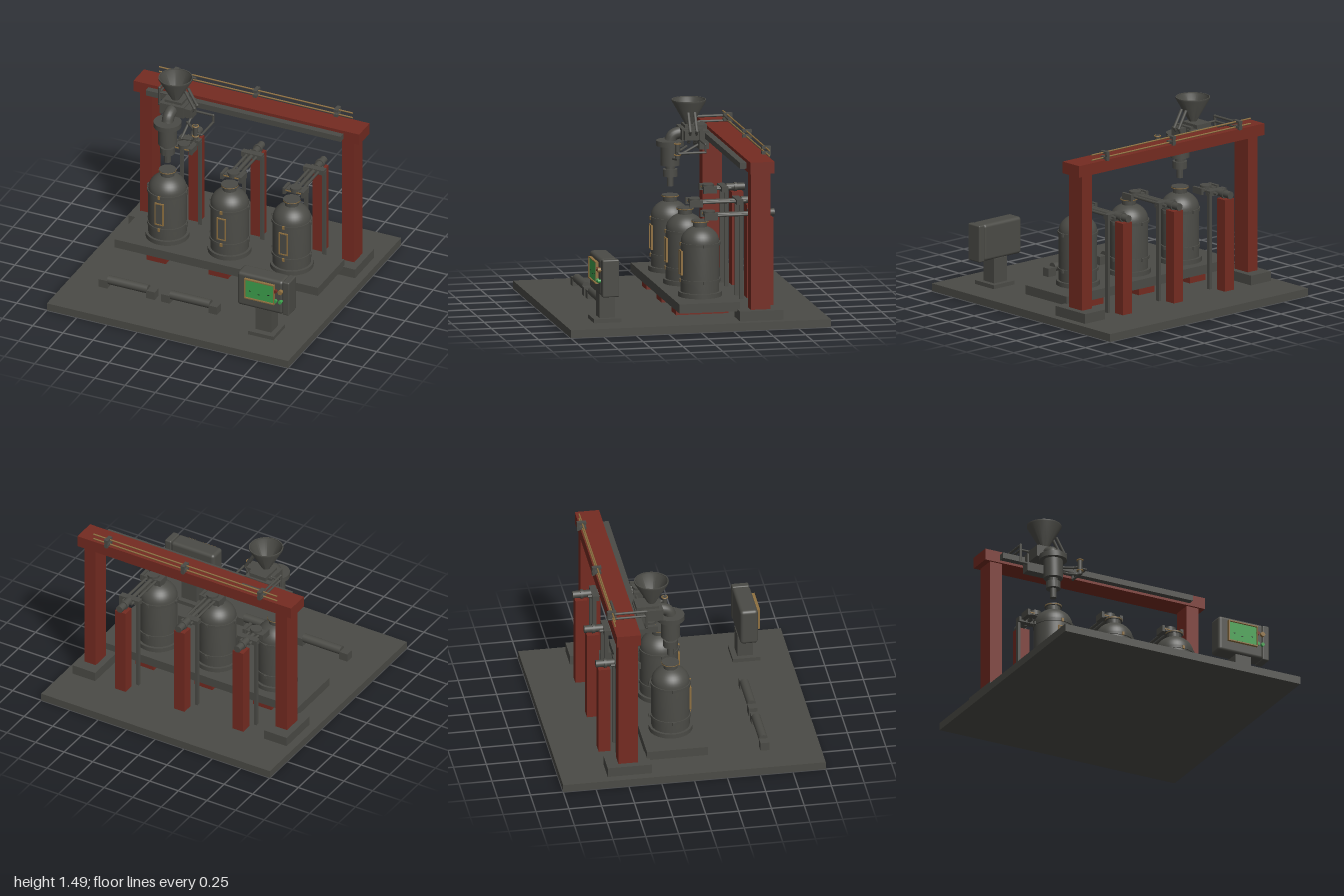
import * as THREE from 'three';
import { toCreasedNormals } from 'three/addons/utils/BufferGeometryUtils.js';
import { RoundedBoxGeometry } from 'three/addons/geometries/RoundedBoxGeometry.js';

const mat = (name, color) => {
  const m = new THREE.MeshStandardMaterial({ color });
  m.name = name;
  return m;
};
const steel = mat('dark steel', 0x4b4b46);
const red = mat('red paint', 0x752b21);
const gold = mat('brass', 0x8f7040);
const green = mat('screen green', 0x3d9f4c);
const black = mat('black', 0x1c2a1e);

const V = (x, y, z) => new THREE.Vector3(x, y, z);

function add(parent, name, geo, material, x = 0, y = 0, z = 0) {
  const m = new THREE.Mesh(geo, material);
  m.name = name;
  m.position.set(x, y, z);
  parent.add(m);
  return m;
}
// box from its limits
function box(parent, name, material, x0, x1, y0, y1, z0, z1, r = 0) {
  const s = [x1 - x0, y1 - y0, z1 - z0];
  const geo = r ? new RoundedBoxGeometry(...s, 3, r) : new THREE.BoxGeometry(...s);
  return add(parent, name, geo, material, (x0 + x1) / 2, (y0 + y1) / 2, (z0 + z1) / 2);
}
// cylinder between two points
function rod(parent, name, material, a, b, r, seg = 12) {
  const d = b.clone().sub(a);
  const m = add(parent, name, new THREE.CylinderGeometry(r, r, d.length(), seg), material);
  m.position.copy(a).addScaledVector(d, 0.5);
  m.quaternion.setFromUnitVectors(V(0, 1, 0), d.normalize());
  return m;
}
// pipe run with ball corners
function pipe(parent, name, pts, r, material = steel) {
  const g = new THREE.Group();
  g.name = name;
  pts.slice(1).forEach((p, i) => {
    rod(g, name + 'Run', material, pts[i], p, r, 10);
    add(g, name + 'Joint', new THREE.SphereGeometry(r * 1.1, 10, 8), material, p.x, p.y, p.z);
  });
  parent.add(g);
}
function lathe(parent, name, material, profile, x, z) {
  const geo = new THREE.LatheGeometry(profile.map(p => new THREE.Vector2(...p)), 40);
  return add(parent, name, toCreasedNormals(geo, 0.6), material, x, 0, z);
}
// flat rectangular frame facing +z
function frame(parent, name, w, h, t, depth, x, y, z) {
  const rect = (P, a, b) => new P([[-a, -b], [a, -b], [a, b], [-a, b]].map(p => new THREE.Vector2(...p)));
  const s = rect(THREE.Shape, w / 2, h / 2);
  s.holes.push(rect(THREE.Path, w / 2 - t, h / 2 - t));
  add(parent, name, new THREE.ExtrudeGeometry(s, { depth, bevelEnabled: false }), gold, x, y, z);
}

// tank with bands, lugs and sight window
function tank(x) {
  const g = new THREE.Group();
  g.name = 'tank';
  g.position.set(x, 0, -0.1);
  const prof = [[0, 0.19], [0.165, 0.19], [0.165, 0.225], [0.145, 0.225], [0.145, 0.6]];
  for (let i = 1; i <= 8; i++) {
    const a = i / 8 * 1.2;
    prof.push([0.145 * Math.cos(a), 0.6 + 0.125 * Math.sin(a)]);
  }
  prof.push([0.053, 0.735], [0.053, 0.75], [0.065, 0.75], [0.065, 0.765], [0, 0.765]);
  lathe(g, 'tankShell', steel, prof, 0, 0);
  const rim = add(g, 'neckRing', new THREE.TorusGeometry(0.063, 0.004, 6, 32), gold, 0, 0.757, 0);
  rim.rotation.x = Math.PI / 2;
  for (const y of [0.31, 0.59]) {
    add(g, 'band', new THREE.CylinderGeometry(0.153, 0.153, 0.022, 40), steel, 0, y, 0);
    for (let i = 0; i < 4; i++) {
      const a = i * Math.PI / 2;
      add(g, 'bandLug', new THREE.BoxGeometry(0.02, 0.025, 0.02), i === 1 ? gold : steel,
        0.154 * Math.cos(a), y, (i === 1 ? 0.146 : 0.154) * Math.sin(a));
    }
  }
  box(g, 'sightWindow', steel, -0.033, 0.033, 0.357, 0.538, 0.13, 0.15);
  frame(g, 'windowFrame', 0.072, 0.187, 0.008, 0.015, 0, 0.447, 0.14);
  return g;
}

// column with sliding arm, slide is how far the arm is drawn back
function station(x, slide) {
  const g = new THREE.Group();
  g.name = 'armStation';
  g.position.x = x;
  box(g, 'armColumn', red, -0.046, 0.046, 0.06, 0.77, -0.655, -0.565);
  for (const s of [-1, 1]) {
    const px = s * 0.075;
    box(g, 'guidePost', steel, px - 0.011, px + 0.011, 0.06, 0.8, -0.53, -0.5);
    rod(g, 'armRod', steel, V(s * 0.04, 0.8, -0.56), V(s * 0.04, 0.8, -0.17 - slide), 0.011);
    box(g, 'jaw', steel, s * 0.077 - 0.011, s * 0.077 + 0.011, 0.775, 0.825, -0.22 - slide, -0.12 - slide);
  }
  rod(g, 'pistonRod', steel, V(0, 0.8, -0.56), V(0, 0.8, -0.2 - slide), 0.016);
  box(g, 'armBlock', steel, -0.085, 0.085, 0.78, 0.82, -0.53, -0.48);
  rod(g, 'actuator', steel, V(0, 0.803, -0.67), V(0, 0.803, -0.53), 0.028, 20);
  rod(g, 'actuatorCap', steel, V(0, 0.803, -0.61), V(0, 0.803, -0.59), 0.036, 20);
  box(g, 'gripPlate', steel, -0.085, 0.085, 0.79, 0.815, -0.21 - slide, -0.135 - slide);
  box(g, 'gripTrim', gold, -0.07, 0.07, 0.8, 0.808, -0.135 - slide, -0.13 - slide);
  add(g, 'gripCap', new THREE.CylinderGeometry(0.045, 0.045, 0.035, 24), steel, 0, 0.815, -0.17 - slide);
  return g;
}

function gantry() {
  const g = new THREE.Group();
  g.name = 'gantry';
  for (const s of [-1, 1]) {
    box(g, 'post', red, s * 0.837 - 0.05, s * 0.837 + 0.05, 0.13, 1.18, -0.56, -0.41);
    box(g, 'postFoot', steel, s * 0.838 - 0.1, s * 0.838 + 0.1, 0.06, 0.135, -0.65, -0.315);
  }
  box(g, 'beam', red, -0.935, 0.935, 1.18, 1.27, -0.58, -0.395);
  box(g, 'trackRail', steel, -0.81, 0.805, 1.2, 1.245, -0.395, -0.345);
  for (const y of [1.29, 1.33])
    rod(g, 'supplyLine', gold, V(-0.805, y, -0.57), V(0.8, y, -0.57), 0.006, 8);
  for (const x of [-0.67, 0, 0.67]) {
    box(g, 'lineBracket', steel, x - 0.012, x + 0.012, 1.27, 1.335, -0.61, -0.59);
    box(g, 'lineClamp', steel, x - 0.016, x + 0.016, 1.28, 1.3, -0.61, -0.54);
    box(g, 'lineClamp', steel, x - 0.016, x + 0.016, 1.32, 1.34, -0.61, -0.54);
  }
  return g;
}

function fillingHead() {
  const g = new THREE.Group(), x = -0.515;
  g.name = 'fillingHead';
  lathe(g, 'hopper', steel, [[0, 1.26], [0.03, 1.26], [0.03, 1.3], [0.13, 1.475], [0.13, 1.487],
    [0.122, 1.487], [0.122, 1.477], [0.022, 1.305], [0, 1.305]], x, -0.245);
  lathe(g, 'nozzle', steel, [[0, 0.83], [0.025, 0.83], [0.025, 0.905], [0.055, 0.905], [0.055, 0.96], [0.036, 0.96],
    [0.036, 0.99], [0.072, 0.99], [0.072, 1.14], [0.105, 1.14], [0.105, 1.18], [0, 1.18]], x, -0.1);
  const curve = new THREE.CatmullRomCurve3([V(x, 1.17, -0.1), V(x, 1.215, -0.12), V(x, 1.235, -0.17), V(x, 1.235, -0.26)]);
  add(g, 'feedElbow', new THREE.TubeGeometry(curve, 16, 0.045, 20), steel);
  // carriage
  box(g, 'headBody', steel, x - 0.1, x + 0.1, 1.19, 1.28, -0.33, -0.17);
  box(g, 'carriage', steel, x - 0.11, x + 0.11, 1.12, 1.26, -0.375, -0.3);
  box(g, 'carriageTop', steel, x - 0.07, x + 0.07, 1.27, 1.3, -0.37, -0.2);
  box(g, 'sideMotor', steel, -0.425, -0.36, 1.2, 1.27, -0.28, -0.18);
  for (const z of [-0.27, -0.22])
    pipe(g, 'hopperStrut', [V(-0.425, 1.4, z), V(-0.35, 1.27, z), V(-0.41, 1.18, z)], 0.012);
  // supply pipes
  pipe(g, 'supplyPipe', [V(-0.49, 1.32, -0.55), V(-0.68, 1.32, -0.55), V(-0.68, 1.32, -0.31),
    V(-0.68, 1.18, -0.31), V(-0.6, 1.18, -0.31)], 0.01);
  pipe(g, 'returnPipe', [V(-0.68, 1.28, -0.6), V(-0.68, 1.28, -0.31), V(-0.6, 1.28, -0.31)], 0.009);
  // side dosing pipes
  pipe(g, 'dosingPipe', [V(-0.41, 1.19, -0.31), V(-0.235, 1.19, -0.31), V(-0.235, 1.13, -0.31),
    V(-0.235, 1.13, -0.105), V(-0.285, 1.13, -0.105)], 0.009);
  pipe(g, 'lowerArm', [V(-0.4, 1.16, -0.29), V(-0.4, 1.06, -0.1), V(-0.32, 1.07, -0.1), V(-0.285, 1.09, -0.105)], 0.01);
  pipe(g, 'upperArm', [V(-0.4, 1.15, -0.2), V(-0.32, 1.14, -0.14), V(-0.285, 1.14, -0.105)], 0.01);
  add(g, 'doser', new THREE.CylinderGeometry(0.018, 0.018, 0.12, 16), steel, -0.285, 1.14, -0.105);
  for (const y of [1.11, 1.195]) {
    const t = add(g, 'doserRing', new THREE.TorusGeometry(0.022, 0.005, 8, 24), gold, -0.285, y, -0.105);
    t.rotation.x = Math.PI / 2;
  }
  return g;
}

function controlPanel() {
  const g = new THREE.Group();
  g.name = 'controlPanel';
  box(g, 'panelFoot', steel, 0.56, 0.77, 0.06, 0.09, 0.56, 0.77);
  box(g, 'pedestal', steel, 0.6, 0.73, 0.09, 0.28, 0.6, 0.72);
  box(g, 'cabinet', steel, 0.45, 0.83, 0.275, 0.56, 0.6, 0.735, 0.025);
  box(g, 'sideCabinet', steel, 0.825, 0.88, 0.275, 0.56, 0.6, 0.73, 0.01);
  box(g, 'bezel', steel, 0.525, 0.765, 0.365, 0.523, 0.73, 0.746);
  frame(g, 'screenFrame', 0.25, 0.168, 0.008, 0.022, 0.645, 0.444, 0.738);
  box(g, 'screen', green, 0.53, 0.76, 0.372, 0.516, 0.745, 0.753);
  [[0.57, 0.43], [0.64, 0.415], [0.72, 0.43]].forEach(([x, y]) =>
    box(g, 'screenMark', black, x - 0.008, x + 0.008, y - 0.003, y + 0.003, 0.752, 0.755));
  [[0.775, 0.475, red, 0.014], [0.815, 0.475, gold, 0.018], [0.775, 0.39, green, 0.014], [0.815, 0.39, green, 0.014]]
    .forEach(([x, y, m, r]) => rod(g, 'button', m, V(x, y, 0.725), V(x, y, 0.755), r, 20));
  return g;
}

export function createModel() {
  const model = new THREE.Group();
  model.name = 'fillingStation';
  box(model, 'floorPlate', steel, -1, 1, 0, 0.06, -1, 1);
  box(model, 'tankPlatform', steel, -0.845, 0.84, 0.12, 0.19, -0.335, 0.13);
  for (const x of [-0.515, 0, 0.515]) {
    box(model, 'platformLeg', red, x - 0.08, x + 0.08, 0.06, 0.12, -0.3, 0.1);
    model.add(tank(x), station(x, x < 0 ? 0.22 : 0));
  }
  model.add(gantry(), fillingHead(), controlPanel());
  // floor rollers
  for (const x of [-0.52, -0.003]) {
    for (const s of [-1, 1])
      box(model, 'rollerBlock', steel, x + s * 0.196 - 0.036, x + s * 0.196 + 0.036, 0.06, 0.125, 0.545, 0.612);
    rod(model, 'roller', steel, V(x - 0.165, 0.12, 0.578), V(x + 0.165, 0.12, 0.578), 0.034, 24);
  }
  return model;
}
